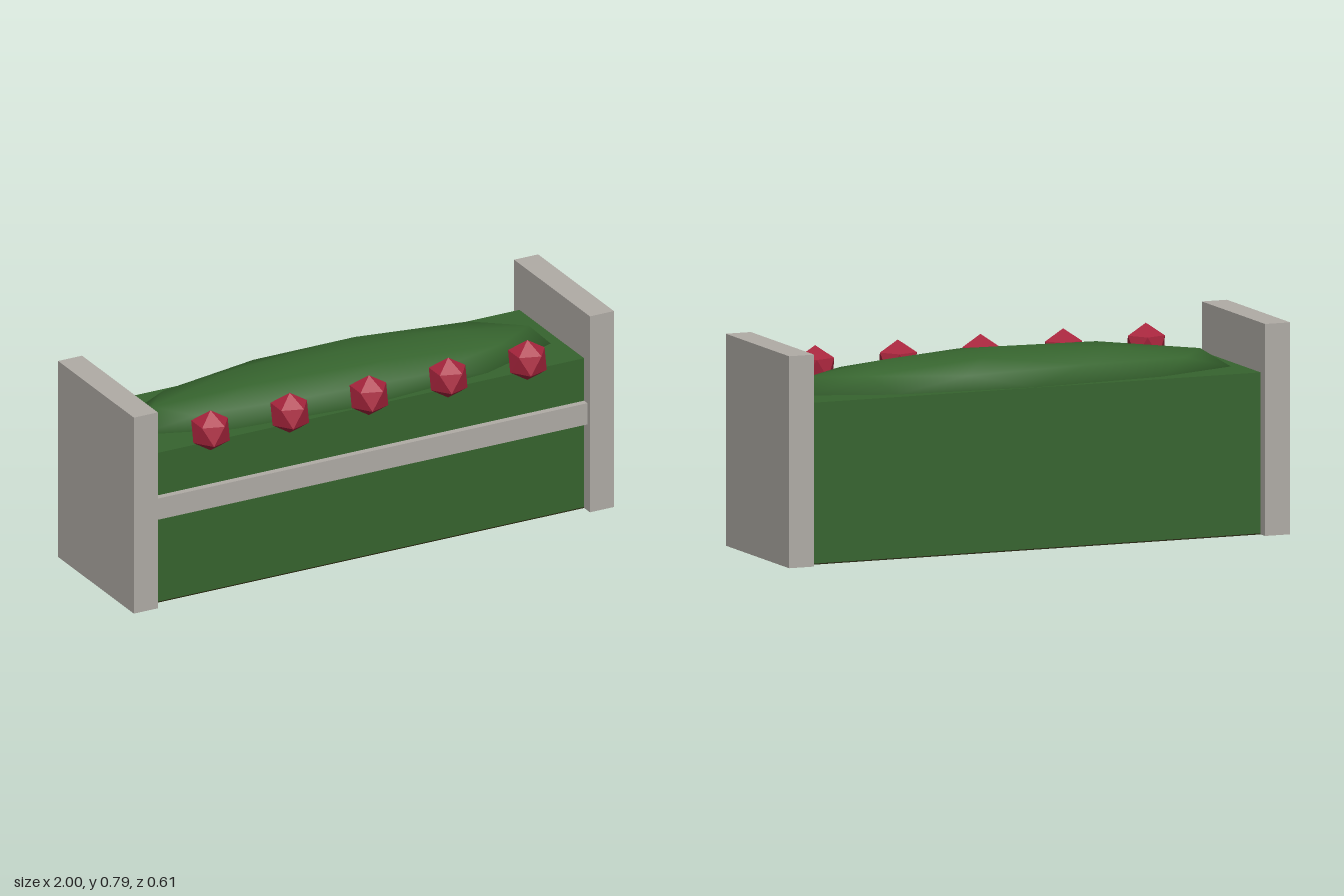
import * as THREE from 'three';

const material = (name, color) => Object.assign(new THREE.MeshStandardMaterial({ color }), { name });

export function createModel() {
  const model = new THREE.Group();
  model.name = 'flowerHedgePlanter';
  const stone = material('stone', 0xb0aca6);
  const leaf = material('leaf green', 0x36642e);
  const soil = material('dark soil', 0x26260e);
  const petal = material('petal red', 0xa8253d);
  petal.flatShading = true;

  const add = (name, geometry, mat, x, y, z) => {
    const mesh = new THREE.Mesh(geometry, mat);
    mesh.name = name;
    mesh.position.set(x, y, z);
    model.add(mesh);
    return mesh;
  };
  // Box given by its limits on each axis
  const box = (name, mat, [x0, x1], [y0, y1], [z0, z1]) =>
    add(name, new THREE.BoxGeometry(x1 - x0, y1 - y0, z1 - z0), mat,
      (x0 + x1) / 2, (y0 + y1) / 2, (z0 + z1) / 2);
  // Icosahedron standing on a corner, with an upper-ring corner towards +x
  const icosphere = (radius, detail) => new THREE.IcosahedronGeometry(radius, detail)
    .rotateX(-Math.atan((1 + Math.sqrt(5)) / 2))
    .rotateY(Math.PI / 2);

  // Stone end panels
  box('leftEndPanel', stone, [0.9, 1], [0, 0.785], [-0.305, 0.275]);
  box('rightEndPanel', stone, [-1, -0.9], [0, 0.785], [-0.305, 0.275]);

  // Hedge block, soil underside and front rail
  box('hedgeBody', leaf, [-0.9, 0.9], [0.004, 0.6], [-0.264, 0.23]);
  box('soilBase', soil, [-0.9, 0.9], [0, 0.004], [-0.264, 0.23]);
  box('frontRail', stone, [-0.9, 0.9], [0.345, 0.43], [0.23, 0.256]);

  // Rounded foliage mound on top
  add('foliageMound', icosphere(1, 1), leaf, 0, 0.6, -0.018).scale.set(0.9, 0.12, 0.24);

  // Row of blossoms along the front edge
  const blossom = icosphere(0.08, 0);
  for (let i = -2; i <= 2; i++) add('blossom', blossom, petal, i * 0.33, 0.647, 0.237);

  return model;
}
